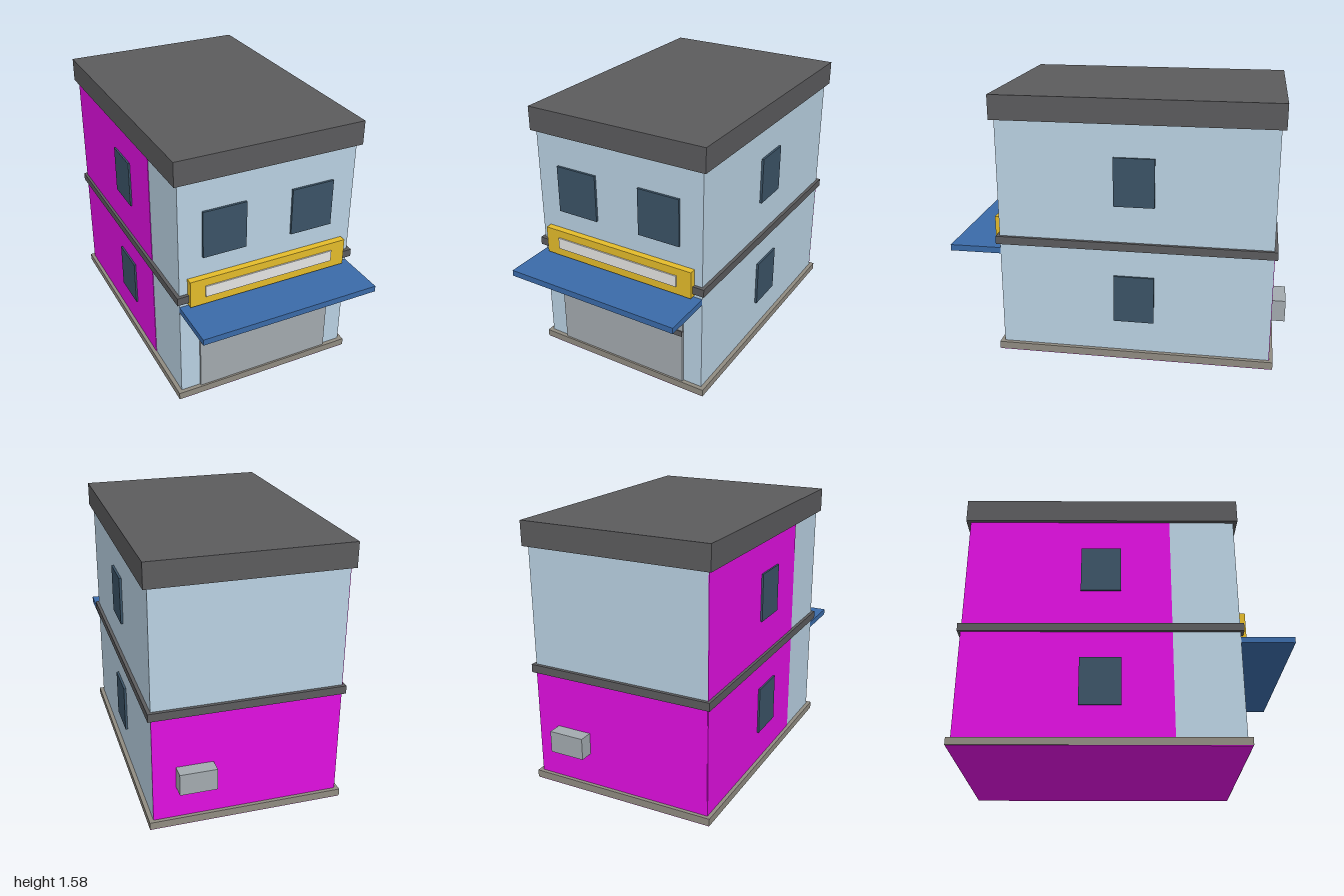
import * as THREE from 'three';

const material = (name, color) => {
  const m = new THREE.MeshStandardMaterial({ color });
  m.name = name;
  return m;
};

export function createModel() {
  const model = new THREE.Group();
  model.name = 'shopBuilding';

  const wall = material('pale blue wall', 0xb9d1e2);
  const dark = material('charcoal trim', 0x5b5b5d);
  const stone = material('plinth stone', 0x908b81);
  const glass = material('window glass', 0x3b5366);
  const yellow = material('sign yellow', 0xe4bb2a);
  const white = material('sign panel', 0xe5e5e3);
  const blue = material('awning blue', 0x3a6aa8);
  const metal = material('shutter grey', 0xa3aaaf);
  const magenta = material('magenta cladding', 0xe00fe0);

  // Box given by its extents on each axis
  const box = (name, mat, [x0, x1], [y0, y1], [z0, z1]) => {
    const mesh = new THREE.Mesh(new THREE.BoxGeometry(x1 - x0, y1 - y0, z1 - z0), mat);
    mesh.position.set((x0 + x1) / 2, (y0 + y1) / 2, (z0 + z1) / 2);
    mesh.name = name;
    model.add(mesh);
  };

  const front = 0.69, back = -0.915, side = 0.55, skin = 0.003;

  // Shell: underside, plinth, two storeys, floor band and roof slab
  box('underside', magenta, [-0.572, 0.572], [0, 0.004], [-0.937, 0.712]);
  box('plinth', stone, [-0.575, 0.575], [0.004, 0.048], [-0.94, 0.715]);
  box('walls', wall, [-side, side], [0.048, 1.438], [back, front]);
  box('floorBand', dark, [-0.57, 0.57], [0.69, 0.738], [-0.935, 0.71]);
  box('roof', dark, [-0.575, 0.575], [1.438, 1.582], [-0.94, 0.715]);

  // Thin cladding on the right wall and the lower back wall
  box('rightCladding', magenta, [-side - skin, -side], [0.048, 1.438], [back, 0.3]);
  box('backCladding', magenta, [-side, side], [0.048, 0.69], [back - skin, back]);

  // Shopfront: shutter with rail, awning and sign
  box('shutter', metal, [-0.43, 0.43], [0.048, 0.588], [front, 0.704]);
  box('shutterRail', dark, [-0.43, 0.43], [0.372, 0.408], [front, 0.71]);
  box('awning', blue, [-0.55, 0.55], [0.623, 0.66], [front, 1]);
  box('sign', yellow, [-0.5, 0.5], [0.67, 0.838], [front, 0.73]);
  box('signPanel', white, [-0.408, 0.408], [0.72, 0.79], [0.73, 0.738]);

  // Windows: two on the upper front, two on each side
  for (const s of [-1, 1]) {
    const span = (a, b) => (s > 0 ? [a, b] : [-b, -a]);
    box('frontWindow', glass, span(0.143, 0.408), [0.958, 1.245], [front, 0.704]);
    for (const y of [0.24, 0.958]) {
      box('sideWindow', glass, span(side, 0.564), [y, y + 0.287], [-0.233, 0.005]);
    }
  }

  // Air conditioner on the back wall
  box('airConditioner', metal, [0.2, 0.416], [0.243, 0.373], [-1, back]);

  return model;
}
